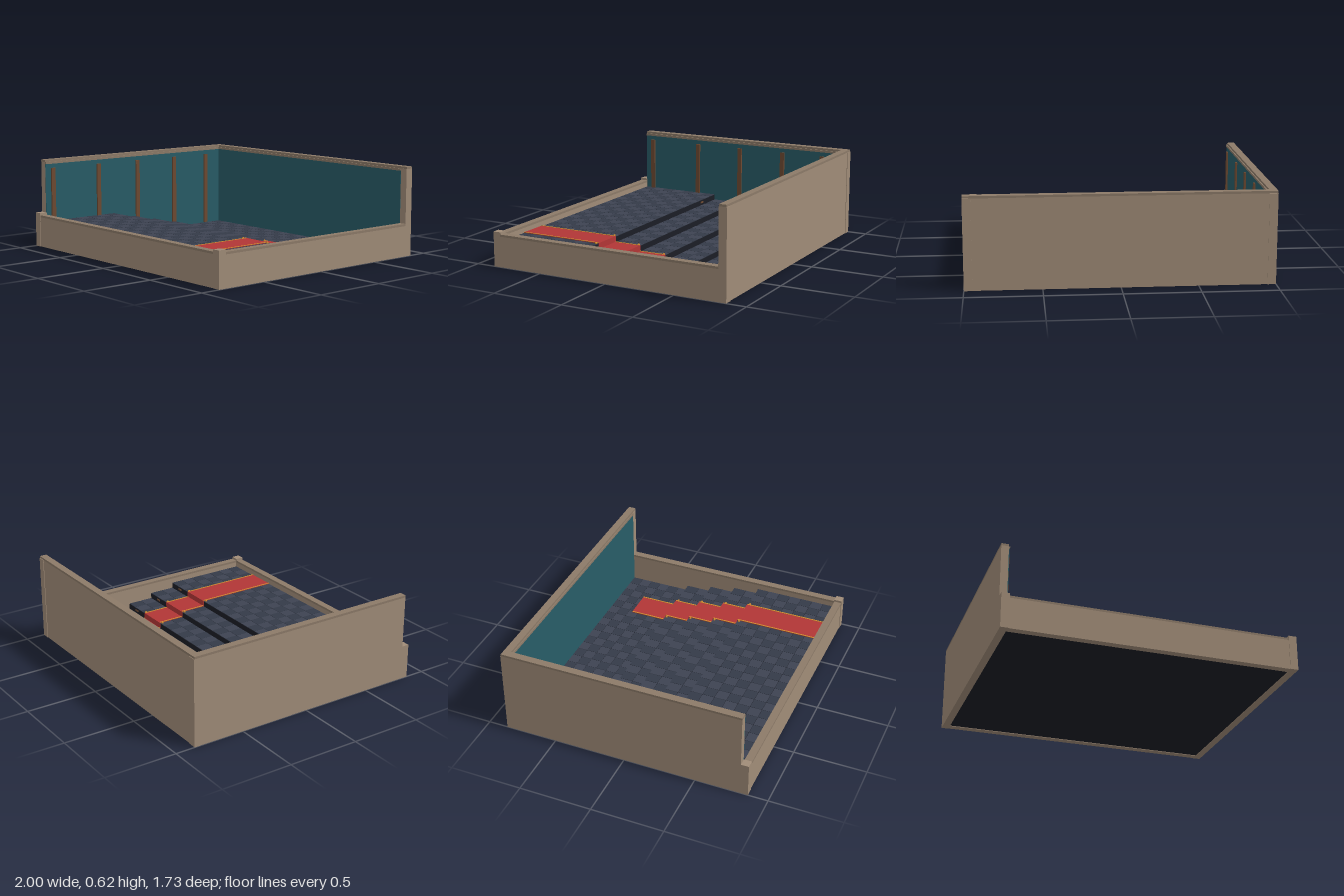
import * as THREE from 'three';

const mat = (color) => new THREE.MeshStandardMaterial({ color });
const M = {
  stone: mat(0xa08c78), cap: mat(0x8c7a68), teal: mat(0x285c67), wood: mat(0x6e4a32),
  base: mat(0x1b1d25), tileA: mat(0x343a48), tileB: mat(0x3d4352),
  carpet: mat(0xb23636), gold: mat(0xd08a30),
};

export function createModel() {
  const root = new THREE.Group();

  // box given by its min and max on each axis
  const box = (name, m, x0, x1, y0, y1, z0, z1, parent = root) => {
    const mesh = new THREE.Mesh(new THREE.BoxGeometry(x1 - x0, y1 - y0, z1 - z0), m);
    mesh.position.set((x0 + x1) / 2, (y0 + y1) / 2, (z0 + z1) / 2);
    mesh.name = name;
    parent.add(mesh);
    return mesh;
  };
  const group = (name) => {
    const g = new THREE.Group();
    g.name = name;
    root.add(g);
    return g;
  };

  const X = 0.95, Z = 0.81, OZ = 0.86;

  // tall back and left walls, low front and right walls, each with a cap
  const wall = (name, h, x0, x1, z0, z1) => {
    const g = group(name);
    box('wallBody', M.stone, x0, x1, 0, h - 0.015, z0, z1, g);
    box('wallCap', M.cap, x0, x1, h - 0.015, h, z0, z1, g);
    return g;
  };
  const back = wall('backWall', 0.615, -1, 1, -OZ, -Z);
  const left = wall('tallSideWall', 0.615, -1, -X, -Z, Z);
  wall('frontWall', 0.225, -X, X, Z, OZ);
  wall('lowSideWall', 0.225, X, 1, -Z, Z);

  // coloured inner panels under a small moulding
  box('backPanel', M.teal, -X, X, 0.01, 0.585, -Z, -Z + 0.004, back);
  box('backMoulding', M.cap, -X, X, 0.585, 0.6, -Z, -Z + 0.008, back);
  box('sidePanel', M.teal, -X, -X + 0.004, 0.01, 0.585, -Z, Z, left);
  box('sideMoulding', M.cap, -X, -X + 0.008, 0.585, 0.6, -Z, Z, left);

  // pilasters along the tall side wall
  for (const z of [-0.665, -0.35, 0, 0.355, 0.75])
    box('pilaster', M.wood, -X, -X + 0.016, 0.02, 0.555, z - 0.016, z + 0.016, left);

  // corner posts
  for (const s of [-1, 1]) {
    const a = s < 0 ? -1 : 0.945, b = s < 0 ? -0.945 : 1;
    box('frontPost', M.stone, a, b, 0, 0.24, 0.808, 0.864);
    box('backPost', M.stone, a, b, 0, 0.6, -0.864, -0.808);
  }

  // tiers descend from front to back
  const edges = [-Z, -0.357, -0.167, 0.024, 0.214, Z];
  const rows = [6, 2, 2, 2, 7];
  const cols = 23, pitch = (2 * X) / cols, gap = 0.003;
  const tierTop = (i) => 0.016 + 0.04 * i;
  const floor = group('tieredFloor');
  let rowIndex = 0;
  rows.forEach((n, i) => {
    const z0 = edges[i], z1 = edges[i + 1], top = tierTop(i);
    box('tierBlock', M.base, -X, X, 0.004, top - 0.003, z0, z1, floor);
    // checkered tiles, one instanced mesh per shade
    const dz = (z1 - z0) / n;
    const geo = new THREE.BoxGeometry(pitch - gap, 0.005, dz - gap);
    [M.tileA, M.tileB].forEach((m, shade) => {
      const spots = [];
      for (let r = 0; r < n; r++)
        for (let c = 0; c < cols; c++)
          if ((r + rowIndex + c) % 2 === shade) spots.push([c, r]);
      const tiles = new THREE.InstancedMesh(geo, m, spots.length);
      spots.forEach(([c, r], k) => tiles.setMatrixAt(k, new THREE.Matrix4().makeTranslation(
        -X + (c + 0.5) * pitch, top - 0.0025, z0 + (r + 0.5) * dz)));
      tiles.name = 'floorTiles';
      floor.add(tiles);
    });
    rowIndex += n;
  });

  // carpet runner with gold borders, following the steps
  const runner = group('carpetRunner');
  const cx0 = 0.515, cx1 = 0.73, t = 0.004;
  for (let i = 0; i < 5; i++) {
    const z0 = i === 0 ? -0.63 : edges[i], z1 = edges[i + 1], y = tierTop(i);
    box('carpetTread', M.carpet, cx0, cx1, y, y + t, z0, z1, runner);
    for (const x of [cx0, cx1 - 0.01])
      box('carpetBorder', M.gold, x, x + 0.01, y + t, y + t + 0.002, z0, z1, runner);
    if (i === 0) continue;
    box('carpetRiser', M.carpet, cx0, cx1, tierTop(i - 1), y + t, z0 - t, z0, runner);
    // rod ends beside the carpet and small lights on the riser
    for (const x of [0.505, 0.737]) {
      const knob = new THREE.Mesh(new THREE.SphereGeometry(0.008, 10, 8), M.gold);
      knob.position.set(x, y + 0.003, z0 + 0.014);
      knob.name = 'rodKnob';
      runner.add(knob);
    }
    for (const x of [-0.735, 0.84])
      box('stepLight', M.wood, x - 0.018, x + 0.018, y - 0.025, y - 0.013, z0 - 0.004, z0, floor);
  }
  return root;
}
